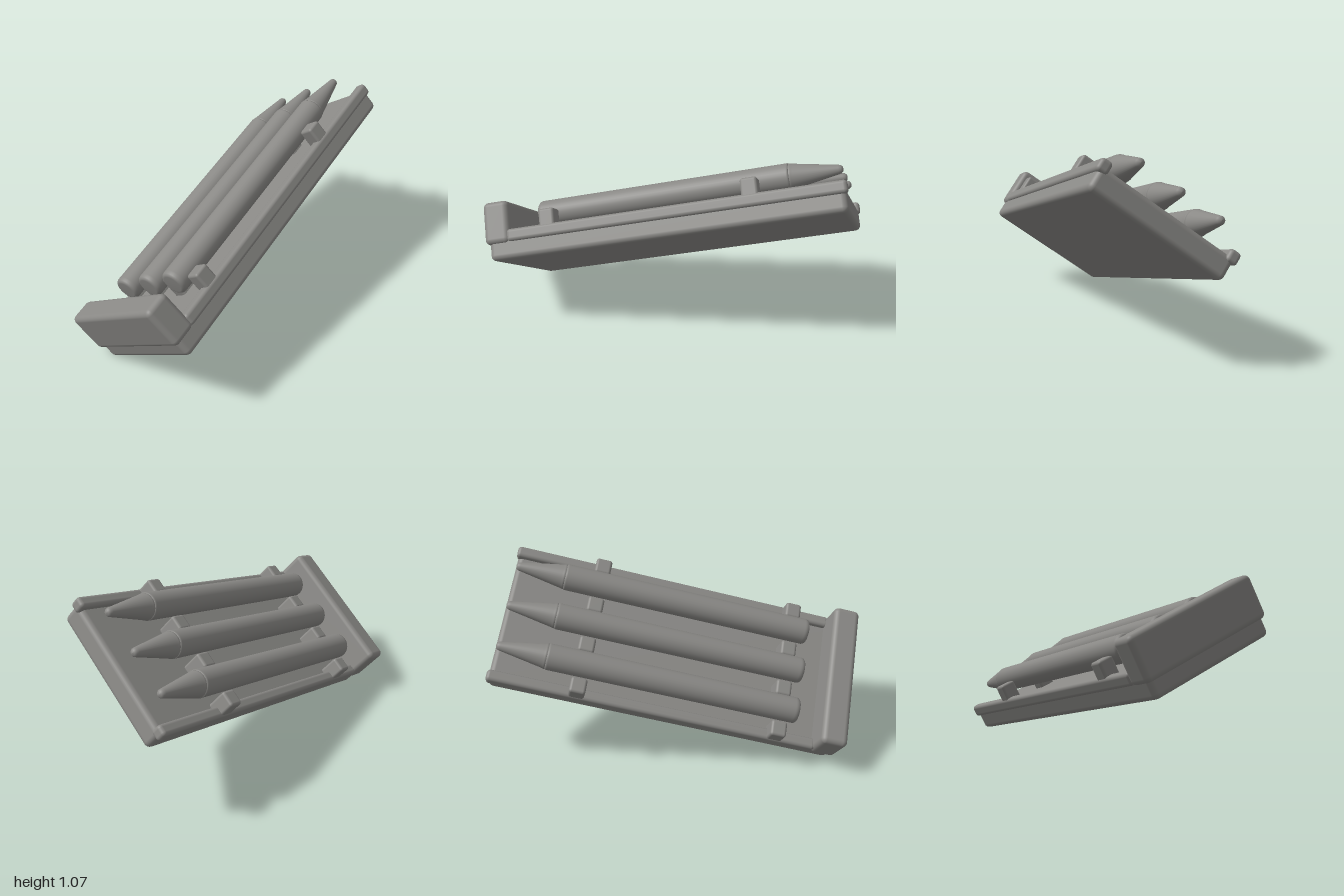
import * as THREE from 'three';
import { RoundedBoxGeometry } from 'three/addons/geometries/RoundedBoxGeometry.js';

export function createModel() {
  const grey = new THREE.MeshStandardMaterial({ color: 0x8a8986 });
  grey.name = 'warm grey';

  const model = new THREE.Group();
  model.name = 'shellRack';

  // The rack is built level (x long, y up, z across), then tilted as a whole
  const rack = new THREE.Group();
  rack.name = 'tiltedRack';
  model.add(rack);

  const add = (name, geometry, x = 0, y = 0, z = 0) => {
    const mesh = new THREE.Mesh(geometry, grey);
    mesh.name = name;
    mesh.position.set(x, y, z);
    rack.add(mesh);
  };

  // Rounded box given by its limits on each axis
  const block = (name, [x0, x1], [y0, y1], [z0, z1], radius) =>
    add(name, new RoundedBoxGeometry(x1 - x0, y1 - y0, z1 - z0, 3, radius),
      (x0 + x1) / 2, (y0 + y1) / 2, (z0 + z1) / 2);

  const mid = 0.328; // centre line across the rack
  const pitch = 0.243; // spacing between shells

  // Base slab and raised end stop
  block('baseSlab', [-0.825, 1.15], [0.295, 0.425], [mid - 0.398, mid + 0.398], 0.03);
  block('endStop', [-0.845, -0.695], [0.385, 0.625], [mid - 0.415, mid + 0.415], 0.03);

  // Side rails
  for (const s of [-1, 1]) {
    const a = mid + s * 0.35, b = mid + s * 0.415;
    block('sideRail', [-0.71, 1.16], [0.39, 0.46], [Math.min(a, b), Math.max(a, b)], 0.02);
  }

  // Two rows of four spacer blocks holding the shells apart
  for (const x of [-0.468, 0.665]) {
    for (let i = 0; i < 4; i++) {
      const z = mid + (i - 1.5) * pitch;
      block('spacerBlock', [x - 0.045, x + 0.045], [0.4, 0.545], [z - 0.045, z + 0.045], 0.015);
    }
  }

  // Shells: cylindrical casing and tapered, blunt nose
  const lathe = (points) =>
    new THREE.LatheGeometry(points.map(([r, y]) => new THREE.Vector2(r, y)), 32).rotateZ(-Math.PI / 2);
  const r = 0.073;
  const casing = lathe([[0, -0.56], [0.052, -0.56], [0.062, -0.557], [0.07, -0.55], [r, -0.538],
    [r, -0.53], [r, 0.85], [r, 0.856], [0.069, 0.862], [0.06, 0.862]]);
  const nose = lathe([[0.066, 0.858], [0.071, 0.864], [0.069, 0.872], [0.066, 0.885], [0.025, 1.115],
    [0.022, 1.128], [0.014, 1.137], [0, 1.14]]);
  for (let i = -1; i <= 1; i++) {
    add('shellCasing', casing, 0, 0.545, mid + i * pitch);
    add('shellNose', nose, 0, 0.545, mid + i * pitch);
  }

  // Tilt of the whole rack
  const long = new THREE.Vector3(0.798, 0.249, -0.549).normalize();
  const up = new THREE.Vector3(-0.507, 0.7695, -0.388);
  up.addScaledVector(long, -up.dot(long)).normalize();
  const across = new THREE.Vector3().crossVectors(long, up);
  rack.quaternion.setFromRotationMatrix(new THREE.Matrix4().makeBasis(long, up, across));

  return model;
}
